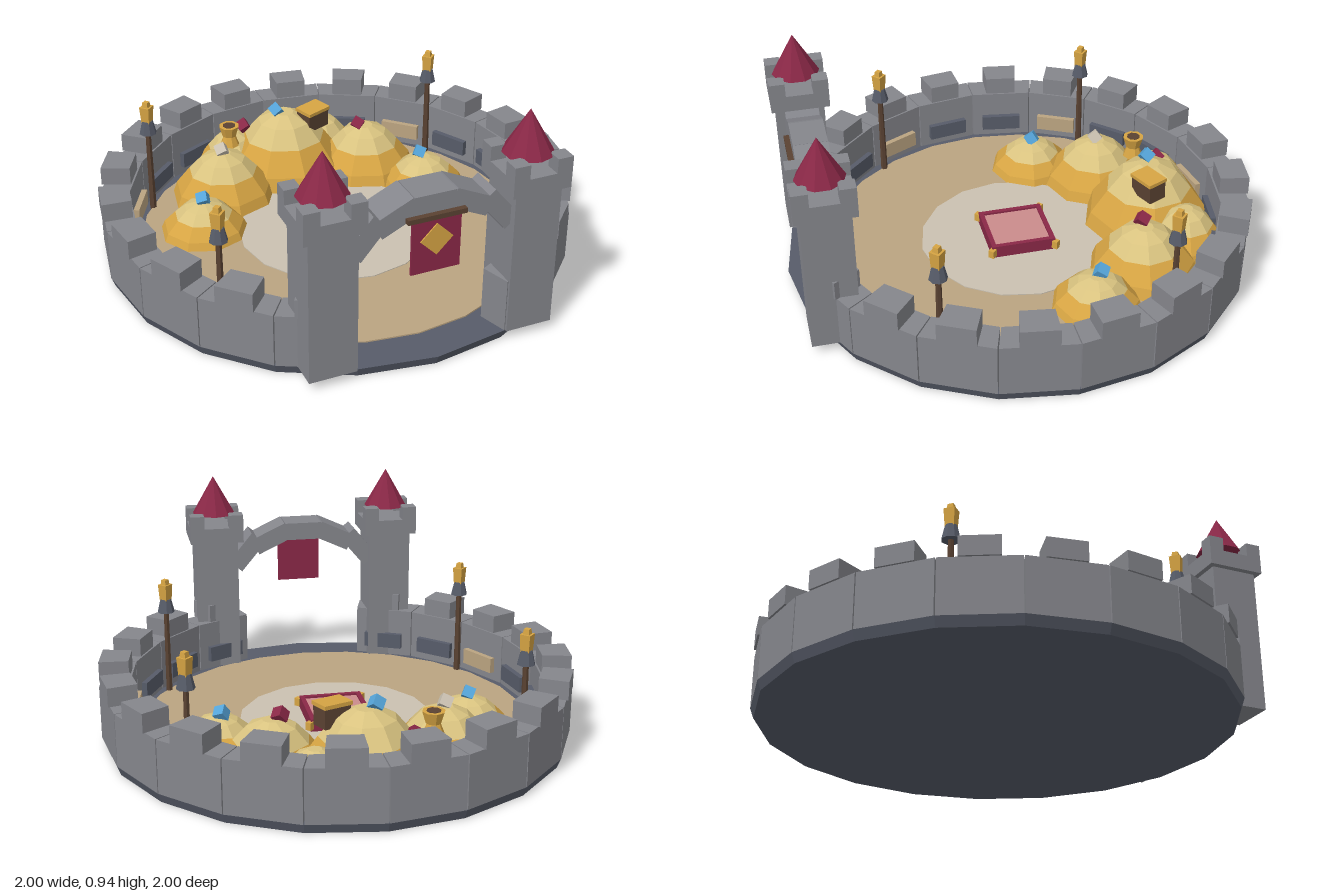
import * as THREE from 'three';

const mat = (name, color) => {
  const m = new THREE.MeshStandardMaterial({ color, flatShading: true });
  m.name = name;
  return m;
};

export function createModel() {
  const root = new THREE.Group();
  root.name = 'treasureCourtyard';
  const stone = mat('stone', 0x85868c), slate = mat('slate', 0x575c69);
  const sand = mat('sand', 0xbba481), pale = mat('pale stone', 0xcac1b1);
  const burgundy = mat('burgundy', 0x8a2847), pink = mat('pink', 0xcb8b8c);
  const gold = mat('gold', 0xd6a443), paleGold = mat('pale gold', 0xd9c380);
  const blue = mat('blue', 0x55a4d8), brown = mat('brown', 0x5a4232);

  const add = (name, geo, m, x = 0, y = 0, z = 0, parent = root) => {
    const mesh = new THREE.Mesh(geo, m);
    mesh.name = name;
    mesh.position.set(x, y, z);
    parent.add(mesh);
    return mesh;
  };
  const box = (w, h, d) => new THREE.BoxGeometry(w, h, d);
  const cyl = (rt, rb, h, n, open = false) => new THREE.CylinderGeometry(rt, rb, h, n, 1, open);

  // Straight-sided ring block centred on angle a
  const sector = (a, half, r0, r1, h) => {
    const p = (r, t) => new THREE.Vector2(r * Math.sin(t), -r * Math.cos(t));
    const s = new THREE.Shape([p(r0, a - half), p(r1, a - half), p(r1, a + half), p(r0, a + half)]);
    return new THREE.ExtrudeGeometry(s, { depth: h, bevelEnabled: false }).rotateX(-Math.PI / 2);
  };

  // Ground
  add('base', cyl(1, 0.985, 0.04, 20), slate, 0, 0.02);
  add('sandFloor', cyl(0.84, 0.84, 0.008, 24), sand, 0, 0.042);
  add('centreFloor', cyl(0.42, 0.42, 0.008, 16), pale, 0, 0.046);

  // Ring wall with merlons and inner plaques, open at the gate
  const step = Math.PI / 10;
  for (let k = 1; k <= 18; k++) {
    const a = (k + 0.5) * step;
    add('wallBlock', sector(a, step * 0.492, 0.875, 1, 0.225), stone, 0, 0.04);
    add('merlon', sector(a, step * 0.25, 0.875, 1, 0.08), stone, 0, 0.265);
    const plaque = add('wallPlaque', box(0.18, 0.07, 0.03), k % 3 === 1 && k > 1 ? sand : slate,
      0.855 * Math.sin(a), 0.115, 0.855 * Math.cos(a));
    plaque.rotation.y = a;
  }

  // Gate towers
  for (const s of [-1, 1]) {
    const tower = new THREE.Group();
    tower.name = s > 0 ? 'leftTower' : 'rightTower';
    tower.position.set(0.413 * s, 0, 0.86);
    root.add(tower);
    add('shaft', box(0.195, 0.61, 0.2), stone, 0, 0.345, 0, tower);
    add('platform', box(0.245, 0.07, 0.245), stone, 0, 0.685, 0, tower);
    for (const x of [-1, 1]) for (const z of [-1, 1])
      add('cornerMerlon', box(0.065, 0.06, 0.065), stone, 0.09 * x, 0.75, 0.09 * z, tower);
    add('roof', new THREE.ConeGeometry(0.1, 0.175, 10), burgundy, 0, 0.855, 0, tower)
      .castShadow = false;
  }

  // Gate arch
  for (const [x, y, tilt] of [[-0.27, 0.585, 50], [-0.15, 0.645, 25], [0, 0.675, 0],
    [0.15, 0.645, -25], [0.27, 0.585, -50]]) {
    const b = add('archBlock', box(0.17, 0.08, 0.14), stone, x, y, 0.86);
    b.rotation.z = THREE.MathUtils.degToRad(tilt);
  }

  // Banner
  add('bannerRod', box(0.24, 0.02, 0.025), brown, 0, 0.63, 0.94);
  add('banner', box(0.2, 0.225, 0.01), burgundy, 0, 0.51, 0.94);
  add('bannerDiamond', box(0.094, 0.094, 0.006), gold, 0, 0.535, 0.947).rotation.z = Math.PI / 4;

  // Torches
  for (const x of [-0.68, 0.68]) for (const z of [-0.48, 0.475]) {
    const t = new THREE.Group();
    t.name = 'torch';
    t.position.set(x, 0, z);
    root.add(t);
    add('pole', cyl(0.012, 0.015, 0.38, 6), brown, 0, 0.23, 0, t);
    add('holder', cyl(0.024, 0.038, 0.06, 8), slate, 0, 0.45, 0, t);
    add('flame', cyl(0.032, 0.026, 0.075, 4), gold, 0, 0.51, 0, t);
    add('flameTip', cyl(0.016, 0.02, 0.025, 4), gold, 0, 0.557, 0, t);
  }

  // Treasure piles: steep gold skirt under a paler cap
  const pile = (x, z, r, h) => {
    const g = new THREE.Group();
    g.name = 'goldPile';
    g.position.set(x, 0.045, z);
    root.add(g);
    const rings = [[r, 0], [r * 0.92, h * 0.24], [r * 0.66, h * 0.6], [r * 0.43, h * 0.87], [r * 0.16, h]];
    for (let i = 0; i < 4; i++) {
      const [rb, y0] = rings[i], [rt, y1] = rings[i + 1];
      add(i < 2 ? 'pileSkirt' : 'pileCap', cyl(rt, rb, y1 - y0, 9, i < 3), i < 2 ? gold : paleGold,
        0, (y0 + y1) / 2, 0, g);
    }
  };
  pile(0, -0.6, 0.285, 0.29);
  for (const s of [-1, 1]) {
    pile(0.35 * s, -0.465, 0.235, 0.215);
    pile(0.53 * s, -0.205, 0.19, 0.14);
    pile(0.22 * s, -0.7, 0.18, 0.18);
  }

  // Gems
  for (const [x, y, z, m] of [[-0.04, 0.35, -0.6, blue], [-0.53, 0.2, -0.205, blue],
    [0.52, 0.2, -0.225, blue], [-0.355, 0.275, -0.46, pale], [0.315, 0.275, -0.465, burgundy],
    [-0.17, 0.25, -0.695, burgundy]]) {
    add('gem', box(0.048, 0.048, 0.048), m, x, y, z).rotation.set(0.6, 0.4 + x, 0.5);
  }

  // Chest
  const chest = new THREE.Group();
  chest.name = 'chest';
  chest.position.set(0.125, 0.3, -0.555);
  chest.rotation.set(0.05, 0.38, 0);
  root.add(chest);
  add('chestBody', box(0.12, 0.085, 0.085), brown, 0, 0, 0, chest);
  add('chestLid', box(0.128, 0.016, 0.095), gold, 0, 0.047, 0, chest);

  // Goblet and loose coin
  add('gobletCup', cyl(0.047, 0.032, 0.05, 8), gold, -0.265, 0.282, -0.615);
  add('gobletFoot', cyl(0.026, 0.045, 0.05, 8), gold, -0.265, 0.235, -0.615);
  add('gobletWell', cyl(0.03, 0.03, 0.004, 8), brown, -0.265, 0.307, -0.615);
  add('coin', cyl(0.027, 0.027, 0.01, 10), gold, 0.59, 0.05, 0.01);

  // Cushion with raised rim and gold corners
  add('cushionBase', box(0.27, 0.04, 0.28), burgundy, 0, 0.07, 0);
  add('cushionTop', box(0.23, 0.008, 0.24), pink, 0, 0.092, 0);
  for (const s of [-1, 1]) {
    add('cushionRim', box(0.27, 0.015, 0.02), burgundy, 0, 0.097, 0.13 * s);
    add('cushionRim', box(0.02, 0.015, 0.24), burgundy, 0.125 * s, 0.097, 0);
    for (const z of [-1, 1])
      add('cushionCorner', cyl(0.018, 0.018, 0.035, 4), gold, 0.14 * s, 0.078, 0.14 * z);
  }
  return root;
}
